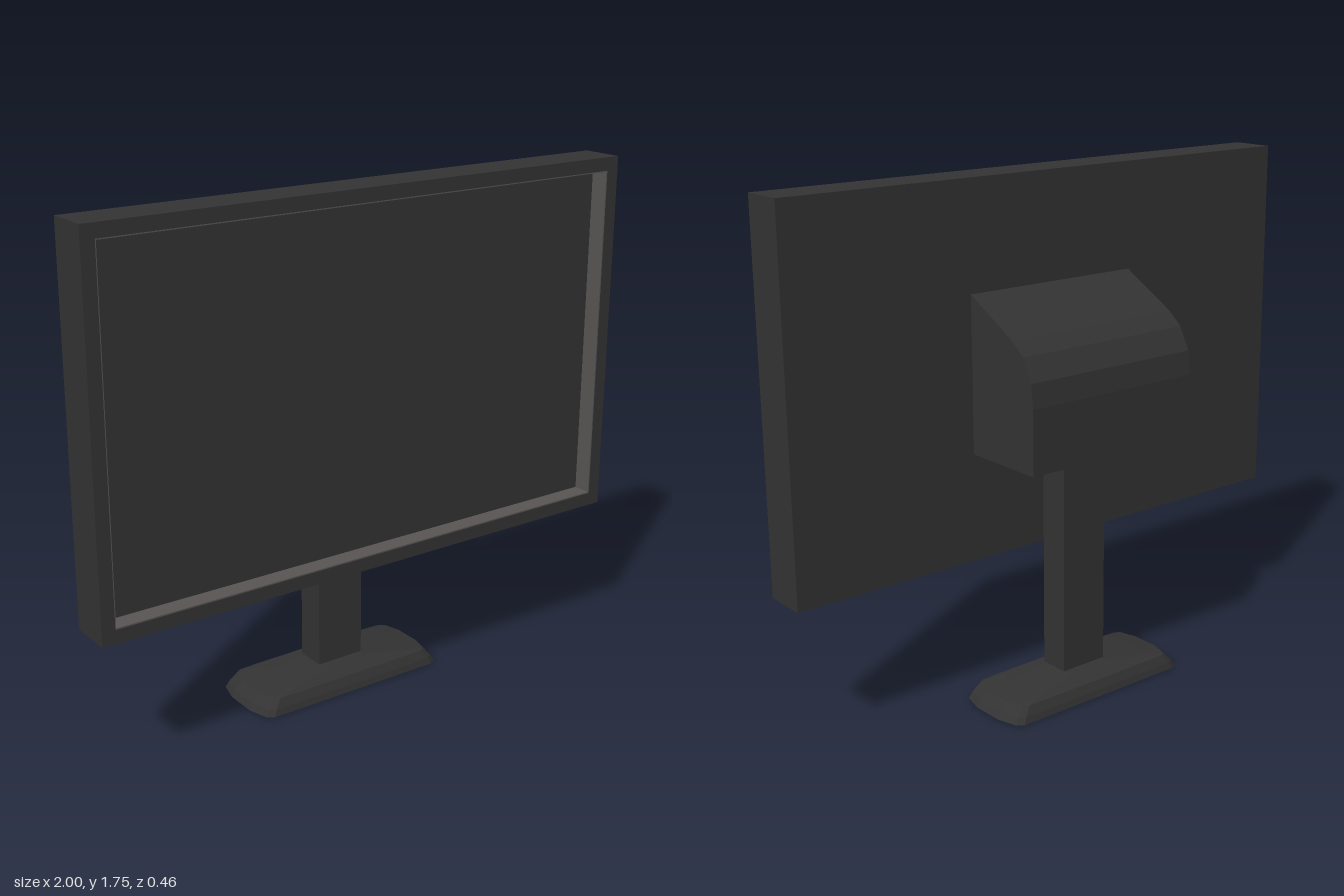
import * as THREE from 'three';

const body = new THREE.MeshStandardMaterial({ name: 'charcoal plastic', color: 0x333333, flatShading: true });
const trim = new THREE.MeshStandardMaterial({ name: 'warm grey trim', color: 0x595555, flatShading: true });

function add(parent, name, geometry, material, x = 0, y = 0, z = 0) {
  const mesh = new THREE.Mesh(geometry, material);
  mesh.name = name;
  mesh.position.set(x, y, z);
  parent.add(mesh);
  return mesh;
}

// Closed solid through stacked rings of equal point count, ordered bottom to top
function loft(rings) {
  const n = rings[0].length;
  const pos = rings.flat(2);
  const index = [];
  for (let r = 0; r < rings.length - 1; r++) {
    for (let i = 0; i < n; i++) {
      const a = r * n + i, b = r * n + (i + 1) % n;
      index.push(a, a + n, b, b, a + n, b + n);
    }
  }
  const top = (rings.length - 1) * n;
  for (let i = 1; i < n - 1; i++) {
    index.push(0, i, i + 1, top, top + i + 1, top + i);
  }
  const g = new THREE.BufferGeometry();
  g.setAttribute('position', new THREE.Float32BufferAttribute(pos, 3));
  g.setIndex(index);
  const flat = g.toNonIndexed();
  flat.computeVertexNormals();
  return flat;
}

// Foot outline: a rectangle with two-step chamfered corners
function footRing(hx, hz, y) {
  const c = Math.min(hx, hz);
  const quarter = [[hx, 0.4 * hz], [hx - 0.14 * c, 0.9 * hz], [hx - 0.3 * c, hz]];
  const back = quarter.slice().reverse();
  return [
    ...quarter,
    ...back.map(([x, z]) => [-x, z]),
    ...quarter.map(([x, z]) => [-x, -z]),
    ...back.map(([x, z]) => [x, -z]),
  ].map(([x, z]) => [x, y, z]);
}

export function createModel() {
  const model = new THREE.Group();
  model.name = 'monitor';

  const midY = 1.125, w = 1, h = 0.625;
  const iw = 0.955, ih = 0.58;
  const backZ = 0.08, screenZ = 0.16, frontZ = 0.23;

  // Display: rear shell, recessed screen, bezel frame and recess trim
  const display = new THREE.Group();
  display.name = 'display';
  display.position.y = midY;
  model.add(display);
  add(display, 'rearShell', new THREE.BoxGeometry(2 * w, 2 * h, screenZ - backZ), body, 0, 0, (screenZ + backZ) / 2);
  add(display, 'screen', new THREE.BoxGeometry(2 * iw, 2 * ih, 0.004), body, 0, 0, screenZ + 0.002);

  const rect = (Type, x, y) => new Type([[-x, -y], [x, -y], [x, y], [-x, y]].map(p => new THREE.Vector2(...p)));
  const frame = rect(THREE.Shape, w, h);
  frame.holes.push(rect(THREE.Path, iw, ih));
  const depth = frontZ - screenZ;
  add(display, 'bezel', new THREE.ExtrudeGeometry(frame, { depth, bevelEnabled: false }), body, 0, 0, screenZ);

  const t = 0.004, trimZ = screenZ + depth / 2 - 0.001;
  for (const s of [-1, 1]) {
    add(display, 'sideTrim', new THREE.BoxGeometry(t, 2 * ih, depth - 0.002), trim, s * (iw - t / 2), 0, trimZ);
    add(display, 'edgeTrim', new THREE.BoxGeometry(2 * iw, t, depth - 0.002), trim, 0, s * (ih - t / 2), trimZ);
  }

  // Rear housing: side profile (z, y) extruded across x
  const profile = [[0.08, 0.865], [0.08, 1.388], [-0.125, 1.278], [-0.178, 1.235],
    [-0.218, 1.16], [-0.226, 1.08], [-0.226, 0.865]];
  const side = new THREE.Shape(profile.map(([z, y]) => new THREE.Vector2(-z, y)));
  const housing = new THREE.ExtrudeGeometry(side, { depth: 0.66, bevelEnabled: false });
  housing.translate(0, 0, -0.33).rotateY(Math.PI / 2);
  add(model, 'rearHousing', housing, body);

  // Stand column and foot
  add(model, 'column', new THREE.BoxGeometry(0.176, 0.83, 0.105), body, 0, 0.465, -0.028);
  const layers = [[0.375, 0.145, 0], [0.362, 0.139, 0.022], [0.335, 0.126, 0.052],
    [0.25, 0.106, 0.066], [0.09, 0.08, 0.083]];
  add(model, 'foot', loft(layers.map(l => footRing(...l))), body, 0, 0, -0.028);

  return model;
}
